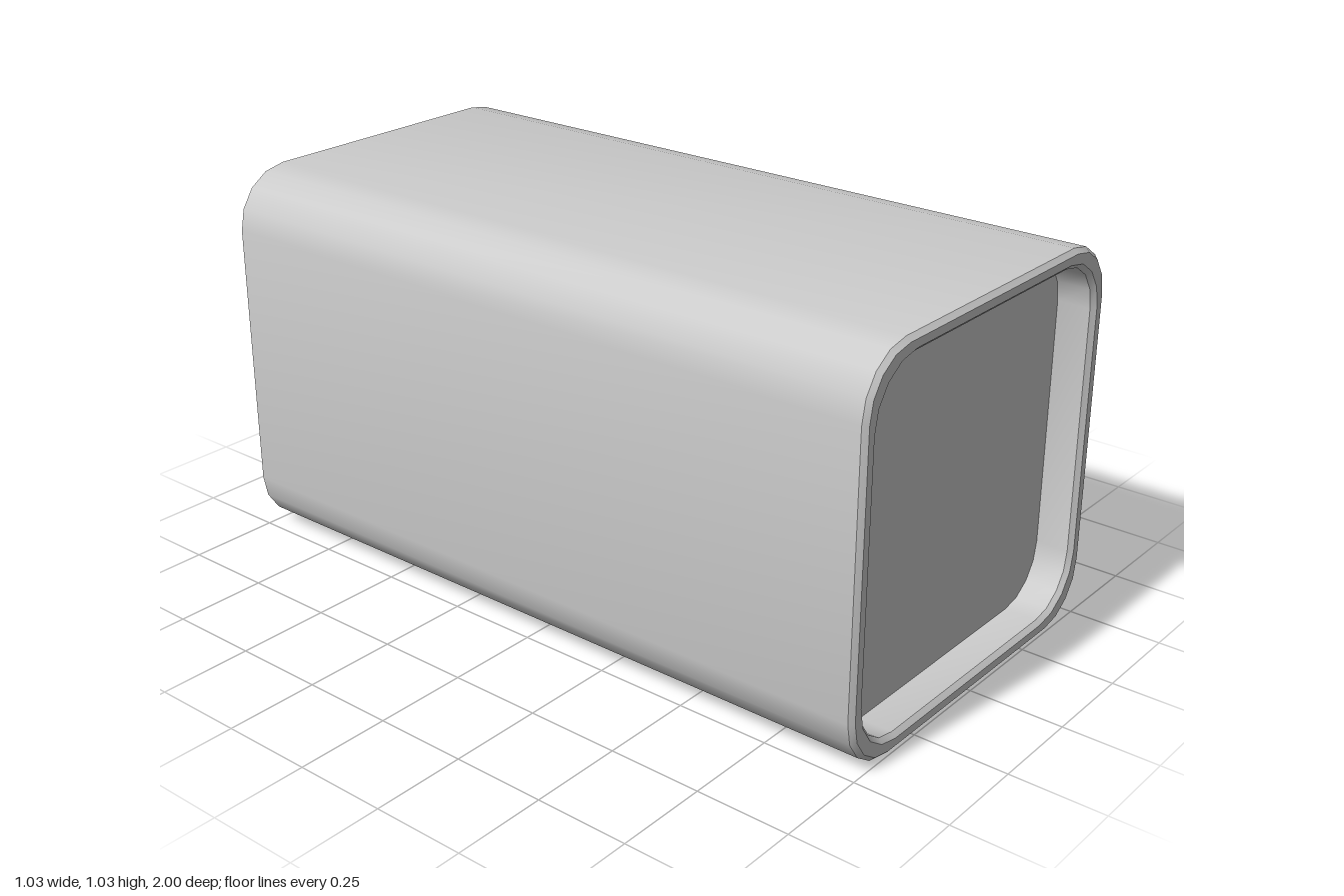
import * as THREE from 'three';
import { toCreasedNormals } from 'three/addons/utils/BufferGeometryUtils.js';

const HALF = 0.517, MID_Y = 0.517, RADIUS = 0.155, BEVEL = 0.012, WALL = 0.045;
const ARC_STEPS = 4;

// Rounded-square ring, counter-clockwise from the top of the +x side; zAt gives depth from height
function ring(half, radius, zAt) {
  const points = [];
  const c = half - radius;
  [[1, 1], [-1, 1], [-1, -1], [1, -1]].forEach(([sx, sy], corner) => {
    for (let i = 0; i <= ARC_STEPS; i++) {
      const a = (corner + i / ARC_STEPS) * Math.PI / 2;
      const y = MID_Y + sy * c + radius * Math.sin(a);
      points.push([sx * c + radius * Math.cos(a), y, zAt(y)]);
    }
  });
  return points;
}

export function createModel() {
  const group = new THREE.Group();
  const material = new THREE.MeshStandardMaterial({ color: 0xcccccc });
  const add = (name, geometry) => {
    const mesh = new THREE.Mesh(geometry, material);
    mesh.name = name;
    group.add(mesh);
    return mesh;
  };

  // Front panel is upright; back panel leans inward towards the top
  const frontZ = () => 0.9;
  const backZ = (y) => -0.95 + 0.15 * (y - WALL) / (2 * (HALF - WALL));
  const flat = (z) => () => z;
  const inner = HALF - WALL, innerR = RADIUS - 0.015;
  const centre = (z) => ring(0, 0, flat(z));

  // Rings from the front panel, over the rim, along the outside and into the back
  const rings = [
    centre(0.9),
    ring(inner, innerR, frontZ),
    ring(inner, innerR, flat(1 - BEVEL)),
    ring(inner + BEVEL, innerR + BEVEL, flat(1)),
    ring(HALF - BEVEL, RADIUS - BEVEL, flat(1)),
    ring(HALF, RADIUS, flat(1 - BEVEL)),
    ring(HALF, RADIUS, flat(-1 + BEVEL)),
    ring(HALF - BEVEL, RADIUS - BEVEL, flat(-1)),
    ring(inner + BEVEL, innerR + BEVEL, flat(-1)),
    ring(inner, innerR, flat(-1 + BEVEL)),
    ring(inner, innerR, backZ),
    centre(backZ(MID_Y)),
  ];
  const OUTER = 5;
  const positions = [];
  for (let i = 0; i < rings.length - 1; i++) {
    const a = rings[i], b = rings[i + 1], n = a.length;
    for (let j = 0; j < n; j++) {
      const k = (j + 1) % n;
      if (i === OUTER && k === 0) continue; // left wall is made separately
      if (i < rings.length - 2) positions.push(...a[j], ...b[j], ...b[k]);
      if (i > 0) positions.push(...a[j], ...b[k], ...a[k]);
    }
  }
  const body = new THREE.BufferGeometry();
  body.setAttribute('position', new THREE.Float32BufferAttribute(positions, 3));
  add('body', toCreasedNormals(body, 0.6));

  // Left wall with two rectangular openings (shape x runs towards -z)
  const rect = (path, x0, x1, y0, y1) => {
    path.moveTo(x0, y0).lineTo(x1, y0).lineTo(x1, y1).lineTo(x0, y1).closePath();
    return path;
  };
  const windowW = 0.35, y0 = 0.19, y1 = 0.85;
  const windowZ = [0.305, -0.455];
  const wall = rect(new THREE.Shape(), -1 + BEVEL, 1 - BEVEL, RADIUS, 2 * MID_Y - RADIUS);
  for (const z of windowZ) {
    wall.holes.push(rect(new THREE.Path(), -z - windowW / 2, -z + windowW / 2, y0, y1));
  }
  const wallMesh = add('leftWall', new THREE.ShapeGeometry(wall).rotateY(Math.PI / 2));
  wallMesh.position.x = HALF;

  // Smooth scooped recess behind each opening
  const scoop = new THREE.PlaneGeometry(windowW, y1 - y0, 16, 20);
  const p = scoop.attributes.position;
  for (let i = 0; i < p.count; i++) {
    const u = p.getX(i) / (windowW / 2), v = p.getY(i) / ((y1 - y0) / 2);
    p.setZ(i, -0.15 * Math.sqrt(Math.max(0, (1 - u * u) * (1 - v ** 4))));
  }
  scoop.rotateY(Math.PI / 2);
  scoop.computeVertexNormals();
  windowZ.forEach((z, i) => {
    add(i === 0 ? 'frontRecess' : 'backRecess', scoop).position.set(HALF, (y0 + y1) / 2, z);
  });

  return group;
}
